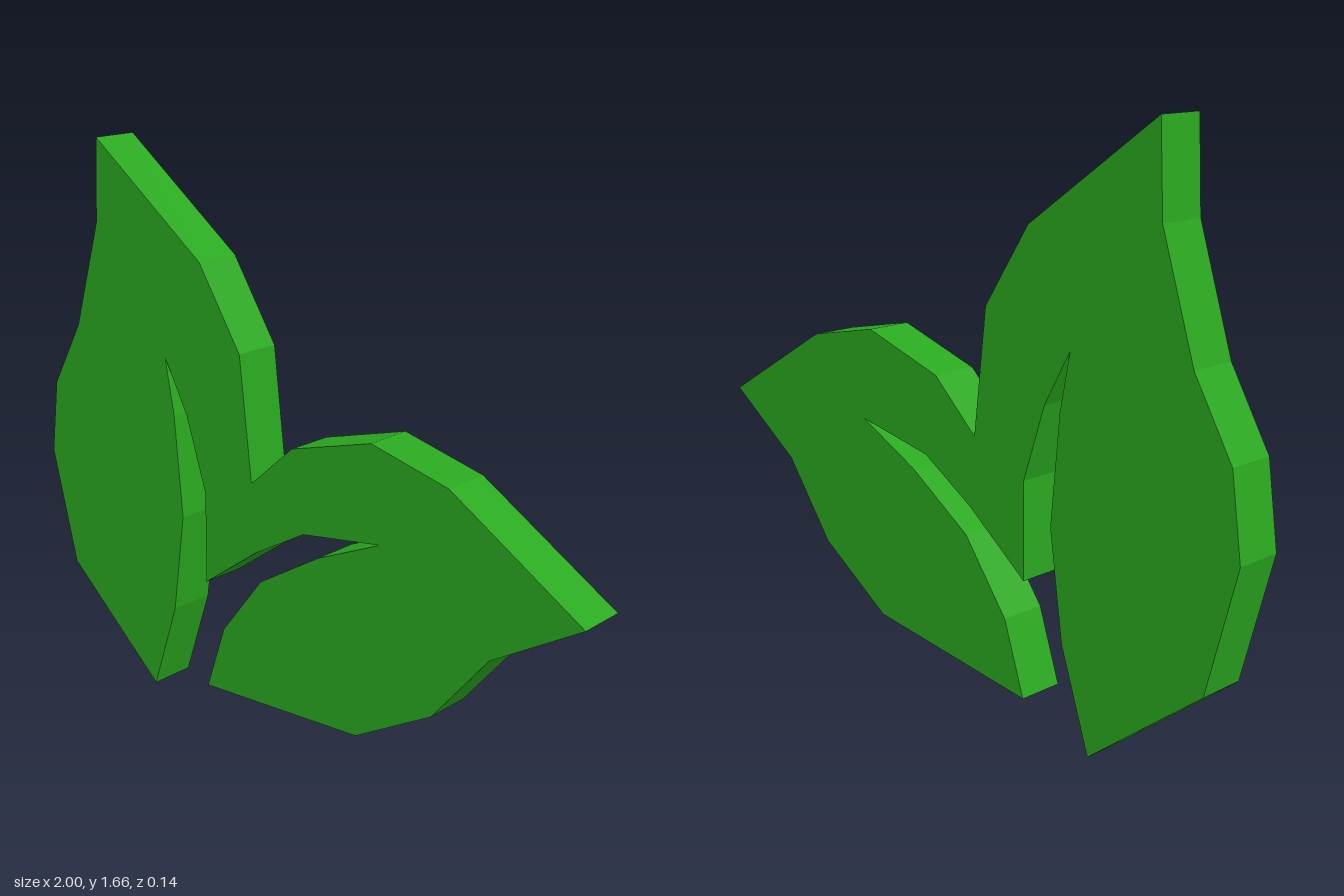
import * as THREE from 'three';

const DEPTH = 0.136;

// Outline of each part, listed clockwise from the front
const uprightLeaf = [
  [-0.72, 1.665], [-0.3, 1.37], [-0.147, 1.14], [-0.105, 0.778],
];
const spreadingLeaf = [
  [0.05, 0.917], [0.33, 1], [0.585, 0.944], [1, 0.7], [0.73, 0.527],
  [0.553, 0.302], [0.292, 0.142], [-0.3, 0.08],
];
// Tapered slit forming the midrib of the spreading leaf
const spreadingVein = [
  [-0.227, 0.29], [-0.072, 0.49], [0.147, 0.628], [0.365, 0.73],
  [0.094, 0.682], [-0.088, 0.575], [-0.297, 0.42],
];
// Tapered slit forming the midrib of the upright leaf
const uprightVein = [
  [-0.294, 0.698], [-0.366, 0.917], [-0.452, 1.072], [-0.42, 0.906],
  [-0.393, 0.596], [-0.44, 0.286], [-0.54, 0],
];
const uprightOuterEdge = [
  [-0.91, 0.302], [-1, 0.66], [-0.965, 0.89], [-0.843, 1.094], [-0.735, 1.42],
];

export function createModel() {
  const group = new THREE.Group();
  group.name = 'leafEmblem';

  // Both leaves are joined between the veins, so they form one flat slab
  const outline = [
    ...uprightLeaf, ...spreadingLeaf, ...spreadingVein,
    ...uprightVein, ...uprightOuterEdge,
  ].map(([x, y]) => new THREE.Vector2(x, y));

  const geometry = new THREE.ExtrudeGeometry(new THREE.Shape(outline), {
    depth: DEPTH,
    bevelEnabled: false,
  });
  geometry.translate(0, 0, -DEPTH / 2);

  const leaves = new THREE.Mesh(
    geometry,
    new THREE.MeshStandardMaterial({ color: 0x2aa81f, flatShading: true }),
  );
  leaves.name = 'leafPair';
  group.add(leaves);
  return group;
}
